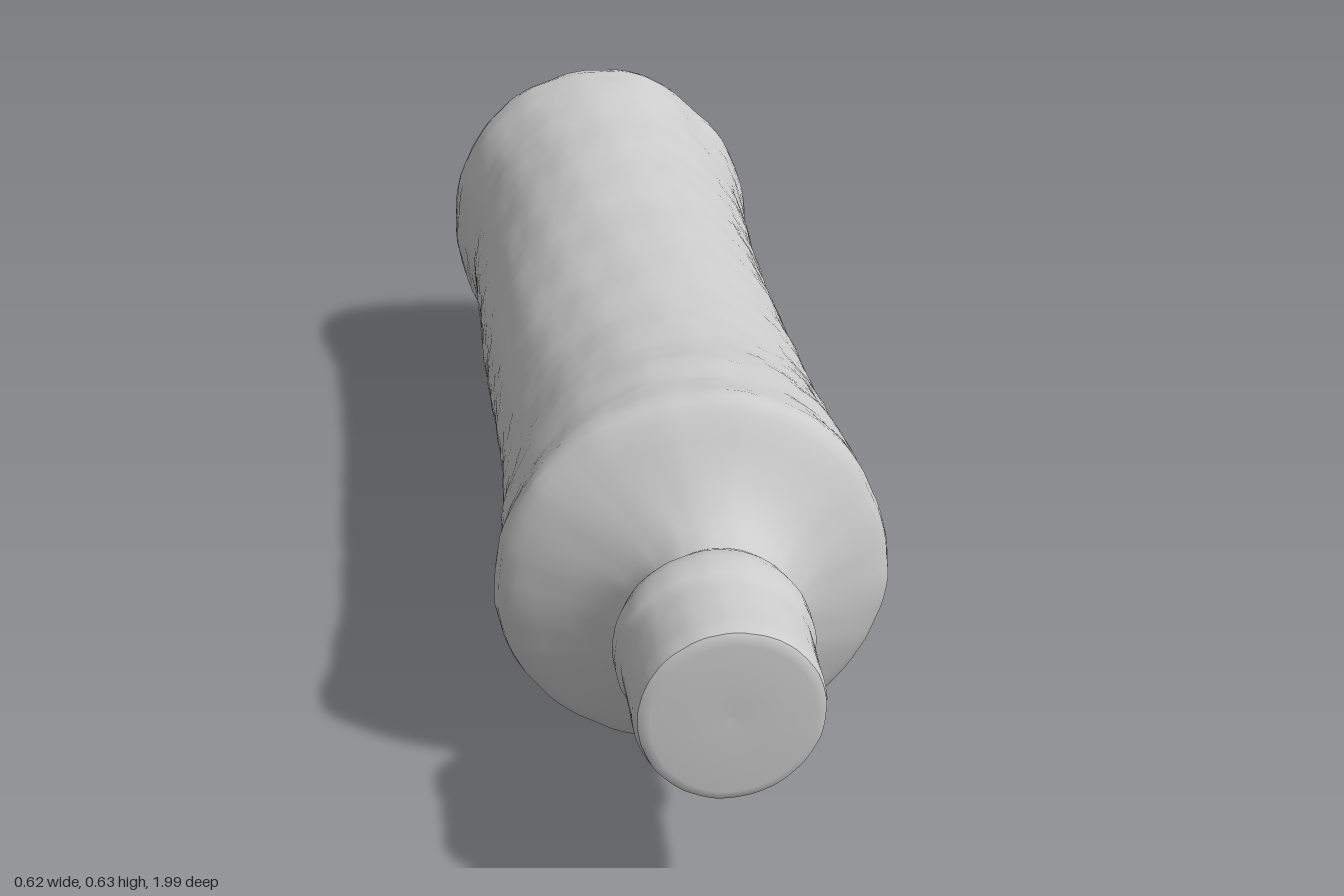
import * as THREE from 'three';

const SIDES = 96;

// Gentle surface unevenness, periodic around the tube
const bumps = (a, z) =>
  0.0022 * Math.sin(3 * a + 7 * z) +
  0.0016 * Math.sin(5 * a - 19 * z + 1) * Math.cos(11 * z) +
  0.0014 * Math.sin(13 * a + 31 * z) * Math.sin(4 * a - 23 * z) +
  0.0010 * Math.sin(23 * a - 67 * z) * Math.cos(9 * a + 41 * z);

// Shallow dent in the upper left of the rear rim
const dent = (a, z) =>
  -0.018 * Math.exp(-(((a - 0.83) / 0.25) ** 2) - ((z + 0.9) / 0.12) ** 2);

// Skin over elliptical sections [z, xMin, xMax, yMin, yMax], ordered back to front
function loft(name, stations, roughness) {
  const rings = [];
  stations.forEach((s, i) => {
    if (i) {
      const p = stations[i - 1];
      const steps = Math.max(1, Math.ceil(Math.abs(s[0] - p[0]) / 0.02));
      for (let k = 1; k < steps; k++) rings.push(p.map((v, n) => v + (s[n] - v) * k / steps));
    }
    rings.push(s);
  });
  const pos = [], index = [];
  rings.forEach(([z, x0, x1, y0, y1], i) => {
    const cx = (x0 + x1) / 2, cy = (y0 + y1) / 2;
    const rx = (x1 - x0) / 2, ry = (y1 - y0) / 2;
    for (let j = 0; j < SIDES; j++) {
      const a = j / SIDES * Math.PI * 2;
      const k = 1 + roughness * (bumps(a, z) + dent(a, z)) / 0.28;
      pos.push(cx + rx * k * Math.cos(a), cy + ry * k * Math.sin(a), z);
      if (i < rings.length - 1) {
        const n = (j + 1) % SIDES, b = i * SIDES, t = b + SIDES;
        index.push(b + j, b + n, t + j, b + n, t + n, t + j);
      }
    }
  });
  const geo = new THREE.BufferGeometry();
  geo.setAttribute('position', new THREE.Float32BufferAttribute(pos, 3));
  geo.setIndex(index);
  geo.computeVertexNormals();
  const mesh = new THREE.Mesh(geo, new THREE.MeshStandardMaterial({ color: 0xcccccc, roughness: 0.9 }));
  mesh.name = name;
  return mesh;
}

export function createModel() {
  const group = new THREE.Group();
  group.name = 'bottle';

  // Slightly dished base
  group.add(loft('base', [
    [-0.965, 0.012, 0.012, 0.315, 0.315],
    [-0.968, -0.12, 0.14, 0.18, 0.45],
    [-0.982, -0.22, 0.245, 0.08, 0.55],
    [-0.988, -0.255, 0.28, 0.045, 0.587],
  ], 1));

  // Waisted body with flared rear rim, front ridge, shoulder and neck
  group.add(loft('body', [
    [-0.988, -0.255, 0.28, 0.045, 0.587],
    [-0.978, -0.273, 0.3, 0.022, 0.61],
    [-0.955, -0.281, 0.309, 0.005, 0.626],
    [-0.92, -0.284, 0.308, 0.001, 0.634],
    [-0.86, -0.284, 0.302, 0.007, 0.629],
    [-0.78, -0.273, 0.29, 0.02, 0.615],
    [-0.7, -0.264, 0.281, 0.031, 0.605],
    [-0.55, -0.264, 0.274, 0.042, 0.594],
    [-0.3, -0.267, 0.267, 0.052, 0.579],
    [0, -0.27, 0.262, 0.055, 0.577],
    [0.2, -0.273, 0.263, 0.051, 0.581],
    [0.35, -0.281, 0.27, 0.042, 0.592],
    [0.44, -0.292, 0.279, 0.036, 0.603],
    [0.5, -0.296, 0.279, 0.034, 0.602],
    [0.54, -0.304, 0.28, 0.029, 0.608],
    [0.575, -0.311, 0.283, 0.027, 0.613],
    [0.6, -0.307, 0.278, 0.033, 0.607],
    [0.62, -0.282, 0.25, 0.054, 0.582],
    [0.645, -0.23, 0.205, 0.089, 0.54],
    [0.67, -0.182, 0.163, 0.122, 0.505],
    [0.7, -0.145, 0.132, 0.153, 0.475],
    [0.73, -0.127, 0.115, 0.175, 0.46],
    [0.76, -0.132, 0.11, 0.183, 0.453],
  ], 1));

  // Bottle mouth with its raised collar
  group.add(loft('mouth', [
    [0.755, -0.132, 0.11, 0.183, 0.453],
    [0.775, -0.155, 0.12, 0.18, 0.462],
    [0.8, -0.162, 0.125, 0.182, 0.467],
    [0.83, -0.162, 0.123, 0.187, 0.465],
    [0.85, -0.156, 0.115, 0.195, 0.458],
    [0.92, -0.156, 0.111, 0.196, 0.458],
    [0.975, -0.156, 0.109, 0.193, 0.46],
    [0.992, -0.151, 0.105, 0.197, 0.456],
  ], 0.7));

  // Closed end of the mouth
  group.add(loft('mouthEnd', [
    [0.992, -0.151, 0.105, 0.197, 0.456],
    [1, -0.135, 0.09, 0.212, 0.441],
    [0.996, -0.023, -0.023, 0.327, 0.327],
  ], 0.7));

  return group;
}
